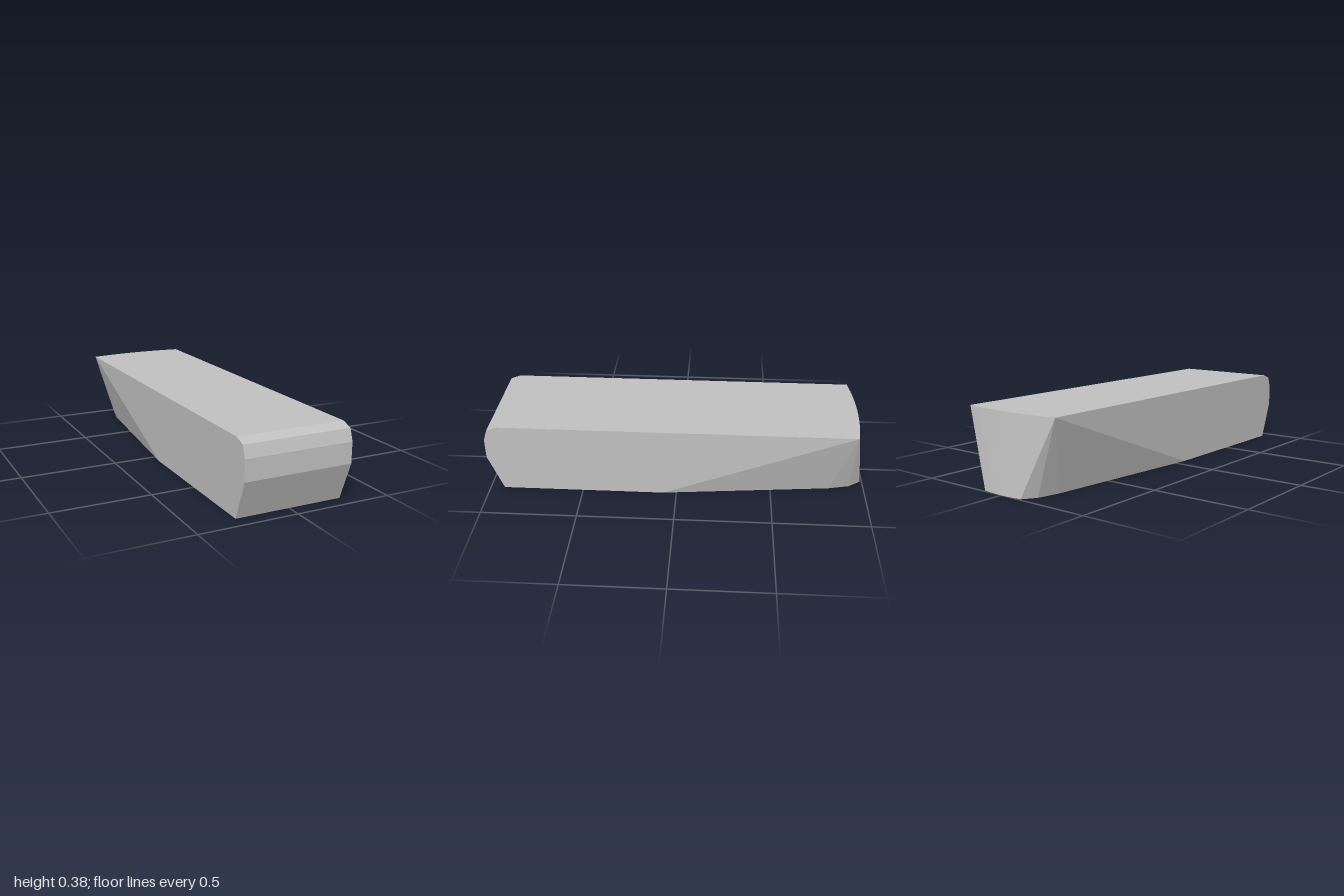
import * as THREE from 'three';
import { ConvexGeometry } from 'three/addons/geometries/ConvexGeometry.js';

const HALF_WIDTH = 0.278;
const HEIGHT = 0.38;

export function createModel() {
  const group = new THREE.Group();
  group.name = 'taperedBlock';
  const grey = new THREE.MeshStandardMaterial({ color: 0xc0c0c0 });
  grey.name = 'plain grey';

  const points = [];
  const mirrored = (x, y, z) => {
    points.push(new THREE.Vector3(x, y, z));
    if (x > 0) points.push(new THREE.Vector3(-x, y, z));
  };

  // Bevelled nose: [z, y] profile across the full width
  for (const [z, y] of [[0.925, 0], [1, 0.195], [1, 0.3], [0.98, 0.36], [0.925, HEIGHT]]) {
    mirrored(HALF_WIDTH, y, z);
  }

  // Upper rear edge: a shallow arc
  for (let i = 0; i <= 4; i++) {
    const t = i / 4;
    mirrored(HALF_WIDTH * t, HEIGHT, -0.947 + 0.023 * t * t);
  }

  // Lower edge: [x, z], narrowing to a rounded heel
  for (const [x, z] of [[HALF_WIDTH, 0.07], [0.188, -0.815], [0.163, -0.925],
    [0.118, -0.99], [0.06, -0.9975], [0, -1]]) {
    mirrored(x, 0, z);
  }

  const body = new THREE.Mesh(new ConvexGeometry(points), grey);
  body.name = 'body';
  group.add(body);
  return group;
}
